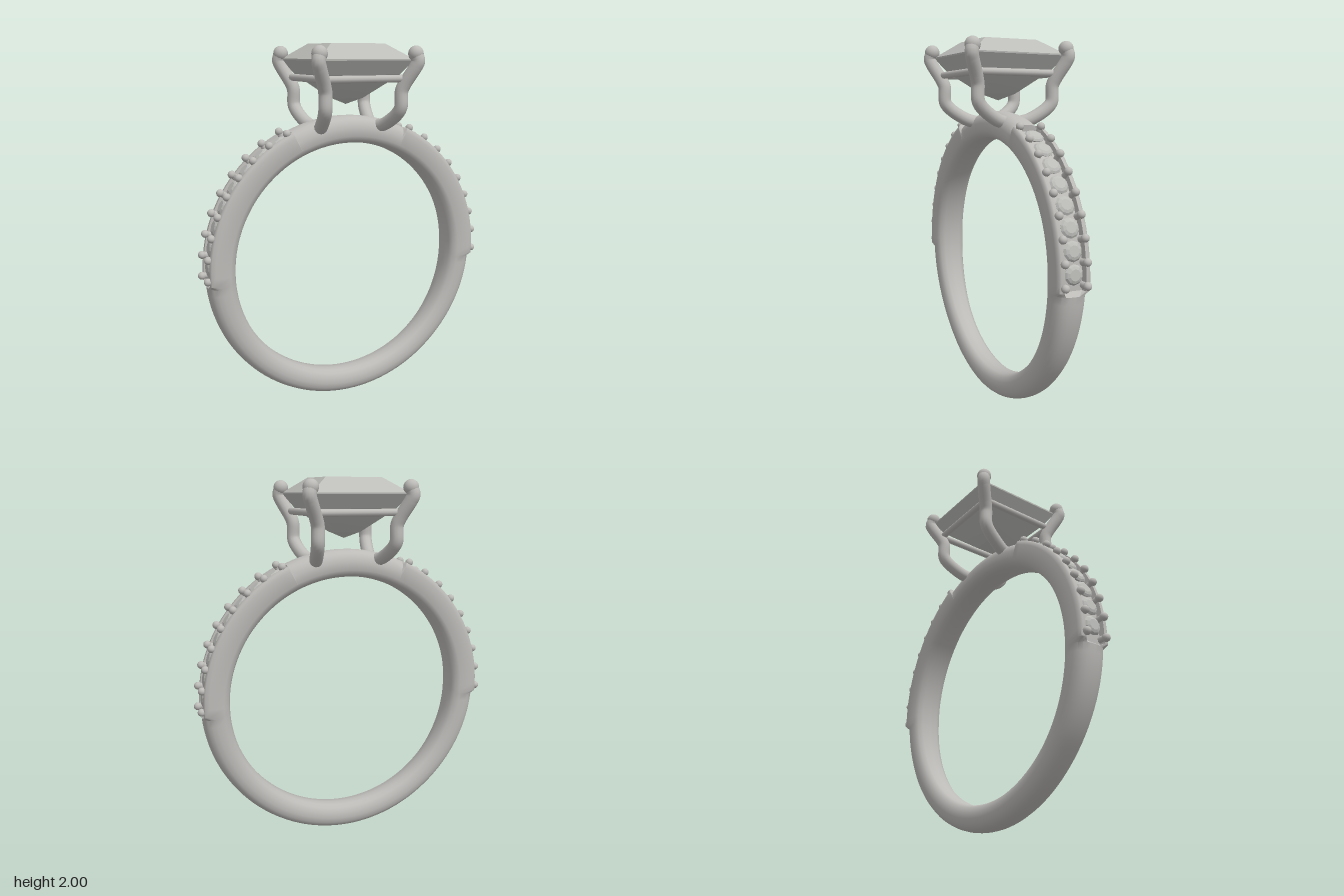
import * as THREE from 'three';
import { toCreasedNormals } from 'three/addons/utils/BufferGeometryUtils.js';

const CY = 0.806; // height of the band's centre
const rad = THREE.MathUtils.degToRad;

// Half cross-sections [z, radius], from the middle of the inside to the middle of the outside
const PAVE = [[0, .665], [.05, .668], [.075, .68], [.09, .705], [.092, .785], [.086, .806], [.078, .812], [.06, .812], [.056, .782], [0, .782]];
const CROWN = [[0, .665], [.05, .668], [.075, .68], [.09, .705], [.088, .75], [.08, .777], [.066, .795], [.048, .807], [.026, .813], [0, .815]];
const BASE = [[0, .665], [.04, .668], [.06, .682], [.072, .71], [.076, .74], [.07, .768], [.058, .787], [.042, .798], [.022, .804], [0, .806]];

// Cross-section at an angle measured from the top of the ring
function sectionAt(phi) {
  if (phi < 24.8) return CROWN;
  if (phi < 93.5) return PAVE;
  const k = THREE.MathUtils.smoothstep(phi, 85, 145);
  return CROWN.map((p, i) => [
    THREE.MathUtils.lerp(p[0], BASE[i][0], k),
    THREE.MathUtils.lerp(p[1], BASE[i][1], k),
  ]);
}

function bandGeometry() {
  const half = [];
  for (let i = 0; i <= 8; i++) half.push(24.4 * i / 8);
  for (let i = 0; i <= 22; i++) half.push(25 + 68 * i / 22);
  for (let i = 0; i <= 28; i++) half.push(94.5 + 85.5 * i / 28);
  const angles = [...half].reverse().map(p => -p).concat(half.slice(1, -1));
  const pos = [], index = [];
  let n = 0;
  for (const a of angles) {
    const s = sectionAt(Math.abs(a));
    const loop = s.concat(s.slice(1, -1).reverse().map(([z, r]) => [-z, r]));
    n = loop.length;
    const t = rad(90 + a);
    for (const [z, r] of loop) pos.push(r * Math.cos(t), CY + r * Math.sin(t), z);
  }
  const m = angles.length;
  for (let i = 0; i < m; i++) {
    for (let j = 0; j < n; j++) {
      const i2 = (i + 1) % m, j2 = (j + 1) % n;
      const a = i * n + j, b = i * n + j2, c = i2 * n + j2, d = i2 * n + j;
      index.push(a, b, c, a, c, d);
    }
  }
  const g = new THREE.BufferGeometry();
  g.setAttribute('position', new THREE.Float32BufferAttribute(pos, 3));
  g.setIndex(index);
  return toCreasedNormals(g, 0.75);
}

// Faceted stone: a profile [radius, height] from bottom to top, turned with few sides
function facetedStone(profile, sides, scale = 1) {
  const pts = profile.map(([r, y]) => new THREE.Vector2(r * scale, y));
  return toCreasedNormals(new THREE.LatheGeometry(pts, sides, Math.PI / sides), 0.1);
}

export function createModel() {
  const metal = new THREE.MeshStandardMaterial({ color: 0xbdbbb8 });
  metal.name = 'silver metal';
  const crystal = new THREE.MeshStandardMaterial({ color: 0xbcbcb9 });
  crystal.name = 'clear stone';

  const model = new THREE.Group();
  model.name = 'ring';
  const add = (name, geometry, material, parent) => {
    const mesh = new THREE.Mesh(geometry, material);
    mesh.name = name;
    parent.add(mesh);
    return mesh;
  };

  const body = new THREE.Group();
  body.name = 'bandAndStones';
  body.position.z = -0.01;
  model.add(body);
  add('band', bandGeometry(), metal, body);

  // Small stones in the channels, with a pair of beads between neighbours
  const smallStone = facetedStone([[0, -.03], [.05, .002], [.052, .006], [.043, .015], [.029, .021], [0, .021]], 10);
  const bead = new THREE.SphereGeometry(0.0215, 14, 10);
  const stem = new THREE.CylinderGeometry(0.016, 0.02, 0.04, 10);
  const STEP = 8.06, FIRST = 26.6;
  for (const side of [1, -1]) {
    const pave = new THREE.Group();
    pave.name = side > 0 ? 'leftSmallStones' : 'rightSmallStones';
    body.add(pave);
    const place = (mesh, phi, r, z) => {
      const a = rad(phi) * side;
      mesh.position.set(r * Math.sin(a), CY + r * Math.cos(a), z);
      mesh.rotation.z = -a;
    };
    for (let i = 0; i <= 8; i++) {
      const phi = FIRST + STEP * i;
      for (const z of [-0.062, 0.062]) {
        place(add('bead', bead, metal, pave), phi, 0.821, z);
        place(add('beadStem', stem, metal, pave), phi, 0.802, z);
      }
      if (i < 8) place(add('smallStone', smallStone, crystal, pave), phi + STEP / 2, 0.79, 0);
    }
  }

  // Square main stone
  add('mainStone', facetedStone([
    [0, 1.68], [.07, 1.715], [.17, 1.8], [.215, 1.84], [.266, 1.913], [.267, 1.921], [.155, 2], [0, 2],
  ], 4, Math.SQRT2), crystal, body);

  // Four bent prongs with rounded ends
  const setting = new THREE.Group();
  setting.name = 'setting';
  setting.position.z = -0.004;
  model.add(setting);
  const path = [
    [.175, 1.56, .05], [.19, 1.575, .1], [.212, 1.632, .19], [.219, 1.67, .219], [.22, 1.755, .222],
    [.233, 1.795, .235], [.272, 1.88, .275], [.282, 1.91, .284], [.272, 1.948, .274],
  ];
  const R = 0.036;
  for (const sx of [1, -1]) {
    for (const sz of [1, -1]) {
      const pts = path.map(([x, y, z]) => new THREE.Vector3(x * sx, y, z * sz));
      const curve = new THREE.CatmullRomCurve3(pts, false, 'centripetal');
      add('prong', new THREE.TubeGeometry(curve, 48, R, 14), metal, setting);
      add('prongFoot', new THREE.SphereGeometry(R, 14, 10), metal, setting).position.copy(pts[0]);
      add('prongTip', new THREE.SphereGeometry(0.041, 16, 12), metal, setting).position.copy(pts[8]);
    }
  }

  // Square rail joining the prongs under the main stone
  const rail = new THREE.CylinderGeometry(0.019, 0.019, 0.46, 12);
  for (let i = 0; i < 4; i++) {
    const arm = new THREE.Group();
    arm.name = 'railSide';
    arm.rotation.y = i * Math.PI / 2;
    const mesh = add('rail', rail, metal, arm);
    mesh.rotation.z = Math.PI / 2;
    mesh.position.set(0, 1.82, 0.232);
    setting.add(arm);
  }
  return model;
}
